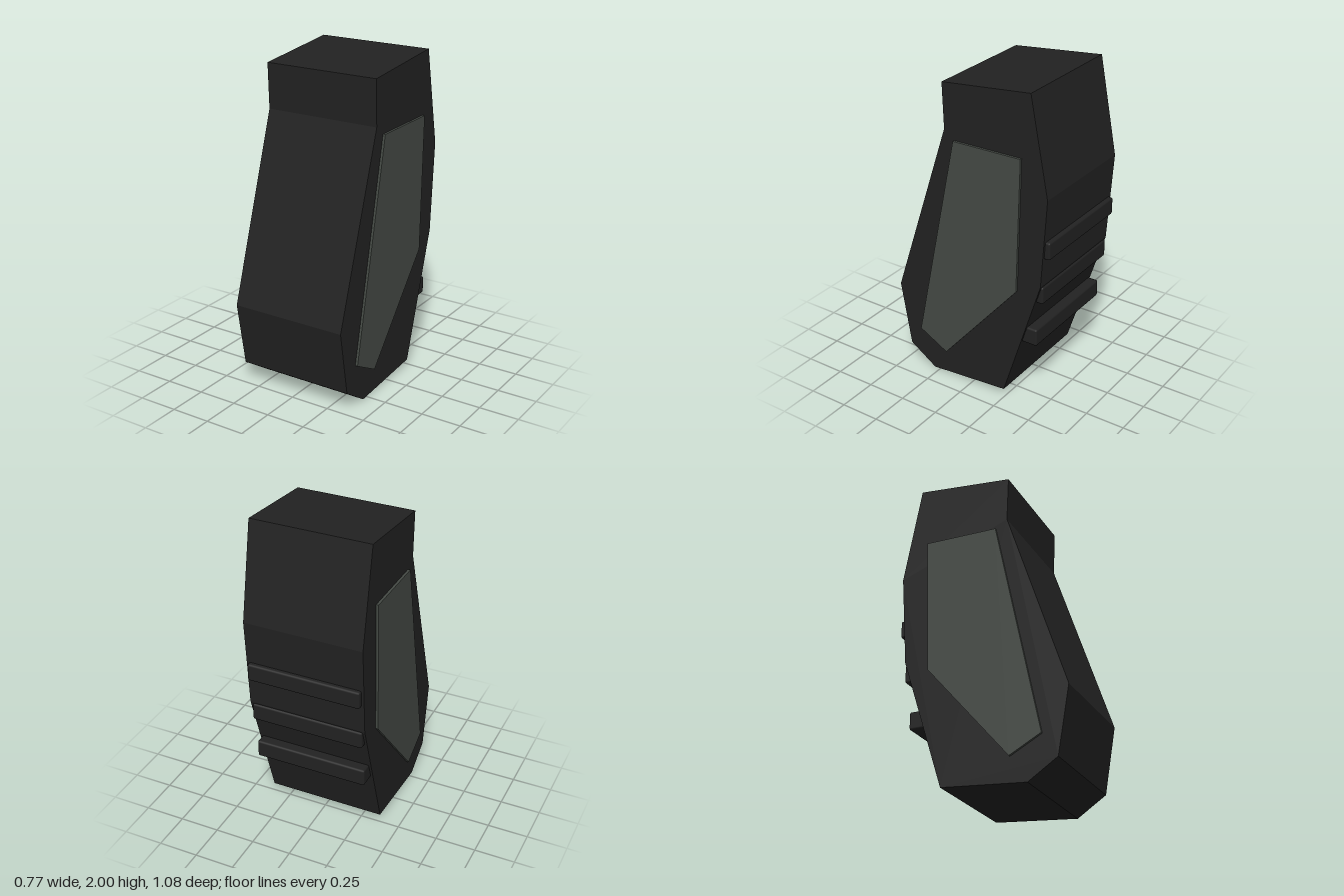
import * as THREE from 'three';
import { RoundedBoxGeometry } from 'three/addons/geometries/RoundedBoxGeometry.js';

// Extrude a side outline of [z, y] points along x, from x0 to x1
function sideSlab(points, x0, x1) {
  const shape = new THREE.Shape(points.map(([z, y]) => new THREE.Vector2(-z, y)));
  const geometry = new THREE.ExtrudeGeometry(shape, { depth: x1 - x0, bevelEnabled: false });
  return geometry.rotateY(Math.PI / 2).translate(x0, 0, 0);
}

export function createModel() {
  const group = new THREE.Group();
  const black = new THREE.MeshStandardMaterial({ color: 0x222222 });
  black.name = 'matte black';
  const grey = new THREE.MeshStandardMaterial({ color: 0x454a45 });
  grey.name = 'grey green';

  const add = (name, geometry, material) => {
    const mesh = new THREE.Mesh(geometry, material);
    mesh.name = name;
    group.add(mesh);
    return mesh;
  };

  // Faceted body
  const bodyOutline = [
    [0.18, 1.94], [0.17, 1.66], [0.54, 0.53], [0.47, 0.12], [0.29, 0],
    [-0.235, 0.04], [-0.487, 0.84], [-0.525, 1.4], [-0.41, 2],
  ];
  add('body', sideSlab(bodyOutline, -0.37, 0.37), black);

  // Raised panel on each side
  const panelOutline = [
    [0.1, 1.605], [0.38, 0.265], [0.187, 0.16], [-0.33, 0.765], [-0.355, 1.61],
  ];
  add('leftPanel', sideSlab(panelOutline, 0.365, 0.385), grey);
  add('rightPanel', sideSlab(panelOutline, -0.385, -0.365), grey);

  // Three grip ribs across the back: [centre y, rear z]
  [[1.075, -0.535], [0.775, -0.495], [0.475, -0.455]].forEach(([y, rear], i) => {
    const rib = add(`gripRib${i + 1}`, new RoundedBoxGeometry(0.71, 0.11, 0.12, 1, 0.012), black);
    rib.position.set(0, y, rear + 0.06);
  });

  return group;
}
